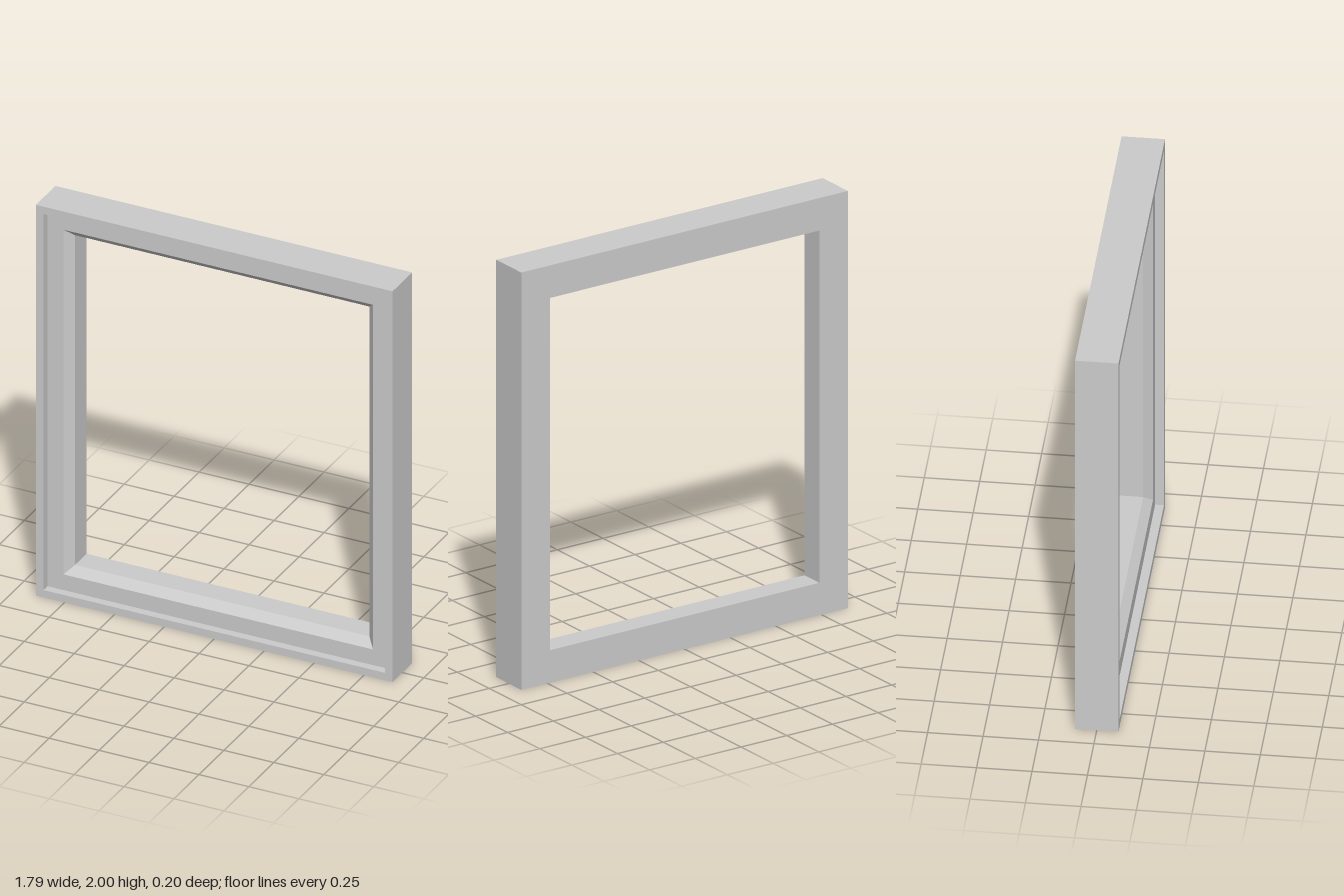
import * as THREE from 'three';

const HALF_W = 0.893, HEIGHT = 2, HALF_D = 0.098;

// Moulding cross-section: [inset from the outer edge, z]
const PROFILE = [
  [0, HALF_D],                // outer front edge
  [0.038, HALF_D],            // raised rim
  [0.038, HALF_D - 0.04],     // step down into the recess
  [0.118, HALF_D - 0.04],     // recessed face
  [0.156, HALF_D - 0.08],     // bevel towards the opening
  [0.156, -HALF_D],           // wall of the opening
  [0, -HALF_D],               // flat back
];

// Four mitred corners of the rectangle at one profile point
function ring([inset, z]) {
  const x = HALF_W - inset, top = HEIGHT - inset;
  return [[-x, inset, z], [x, inset, z], [x, top, z], [-x, top, z]];
}

// Sweep the closed profile around the rectangle, one flat quad per side
function mitredFrame(profile) {
  const rings = profile.map(ring);
  const positions = [];
  rings.forEach((a, k) => {
    const b = rings[(k + 1) % rings.length];
    for (let i = 0; i < 4; i++) {
      const j = (i + 1) % 4;
      positions.push(...a[i], ...a[j], ...b[j], ...a[i], ...b[j], ...b[i]);
    }
  });
  const geometry = new THREE.BufferGeometry();
  geometry.setAttribute('position', new THREE.Float32BufferAttribute(positions, 3));
  geometry.computeVertexNormals();
  return geometry;
}

export function createModel() {
  const model = new THREE.Group();
  model.name = 'windowFrame';
  const material = new THREE.MeshStandardMaterial({ color: 0xcccccc, flatShading: true });
  const frame = new THREE.Mesh(mitredFrame(PROFILE), material);
  frame.name = 'frame';
  model.add(frame);
  return model;
}
